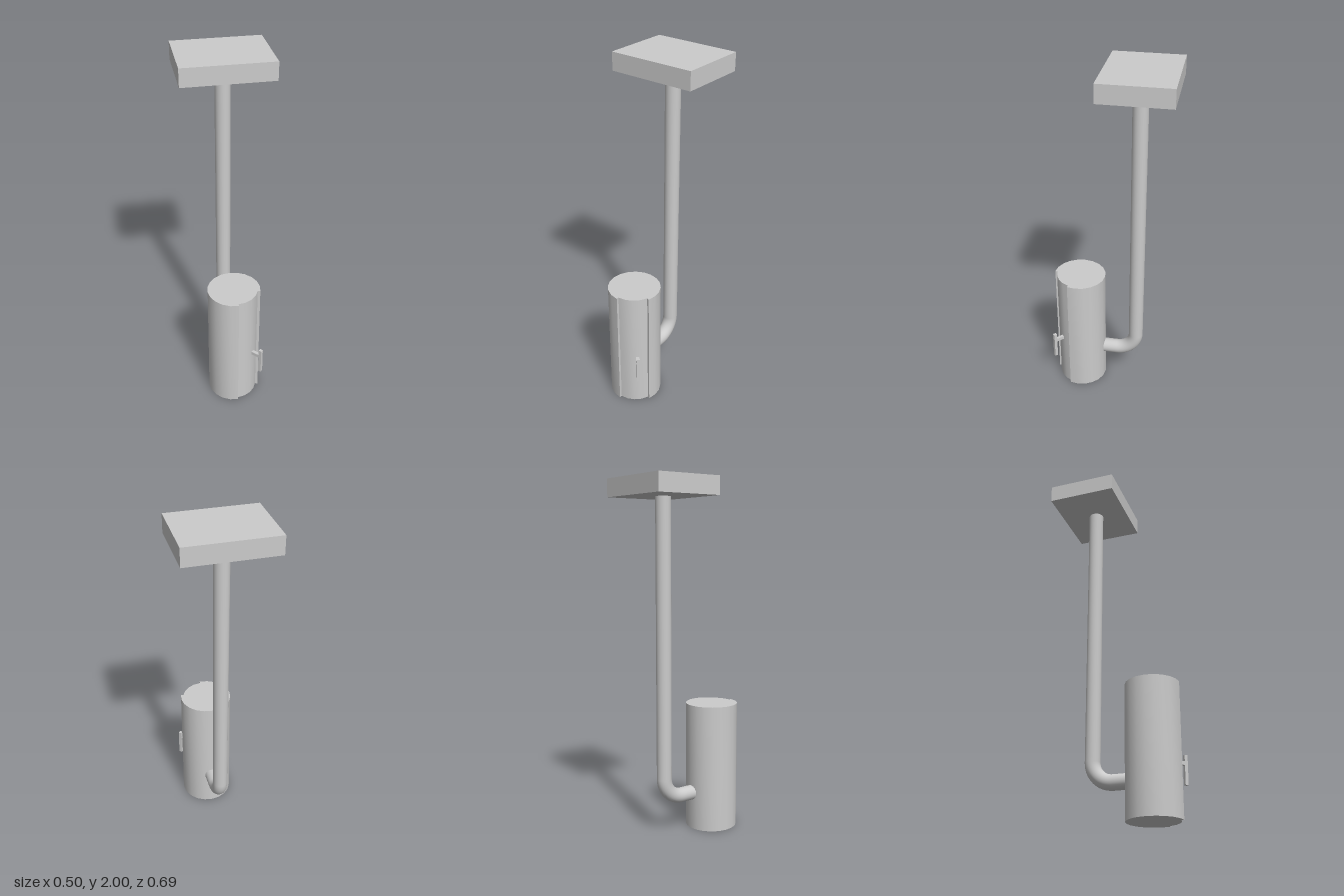
import * as THREE from 'three';
import { toCreasedNormals } from 'three/addons/utils/BufferGeometryUtils.js';

const material = new THREE.MeshStandardMaterial({ color: 0xcccccc });

function addMesh(parent, name, geometry, x = 0, y = 0, z = 0) {
  const mesh = new THREE.Mesh(geometry, material);
  mesh.name = name;
  mesh.position.set(x, y, z);
  parent.add(mesh);
  return mesh;
}

// Twenty-sided outline with a shallow recess over one front quarter
function bodyShape(radius, recessRadius) {
  const step = Math.PI / 10;
  const points = [];
  const arc = (r, from, to) => {
    for (let i = from; i <= to; i++) {
      points.push(new THREE.Vector2(r * Math.cos(i * step), r * Math.sin(i * step)));
    }
  };
  arc(recessRadius, 1, 5);
  arc(radius, 5, 21);
  return new THREE.Shape(points);
}

export function createModel() {
  const model = new THREE.Group();
  model.name = 'ceilingPipeWithCylinder';

  // Mounting plate
  addMesh(model, 'mountingPlate', new THREE.BoxGeometry(0.496, 0.1, 0.387), 0, 1.95, -0.15);

  // Pipe: straight drop, quarter bend, short run into the cylinder
  const pipeZ = -0.146, pipeY = 0.217, bend = 0.115, pipeRadius = 0.0425;
  const k = bend * 0.5523;
  const v = (y, z) => new THREE.Vector3(0, y, z);
  const dropEnd = v(pipeY + bend, pipeZ);
  const runStart = v(pipeY, pipeZ + bend);
  const elbow = new THREE.CubicBezierCurve3(
    dropEnd, v(pipeY + bend - k, pipeZ), v(pipeY, pipeZ + bend - k), runStart);
  const dropLength = 1.9 - dropEnd.y;
  addMesh(model, 'pipeDrop', new THREE.CylinderGeometry(pipeRadius, pipeRadius, dropLength, 24),
    0, dropEnd.y + dropLength / 2, pipeZ);
  addMesh(model, 'pipeElbow', new THREE.TubeGeometry(elbow, 14, pipeRadius, 24));
  const runLength = 0.06 - runStart.z;
  const run = addMesh(model, 'pipeRun', new THREE.CylinderGeometry(pipeRadius, pipeRadius, runLength, 24),
    0, pipeY, runStart.z + runLength / 2);
  run.rotation.x = Math.PI / 2;

  // Cylinder body with recessed door panel
  const height = 0.735, bodyZ = 0.192;
  const body = new THREE.ExtrudeGeometry(bodyShape(0.15, 0.135), { depth: height, bevelEnabled: false });
  body.rotateX(Math.PI / 2);
  addMesh(model, 'cylinderBody', toCreasedNormals(body, 0.6), 0, height, bodyZ);

  // Door handle, pointing out diagonally from the recess
  const handle = new THREE.Group();
  handle.name = 'doorHandle';
  handle.position.z = bodyZ;
  handle.rotation.y = Math.PI / 4;
  addMesh(handle, 'handleStem', new THREE.BoxGeometry(0.018, 0.02, 0.06), 0, 0.32, 0.155);
  addMesh(handle, 'handleBar', new THREE.BoxGeometry(0.018, 0.16, 0.018), 0, 0.285, 0.19);
  model.add(handle);

  return model;
}
